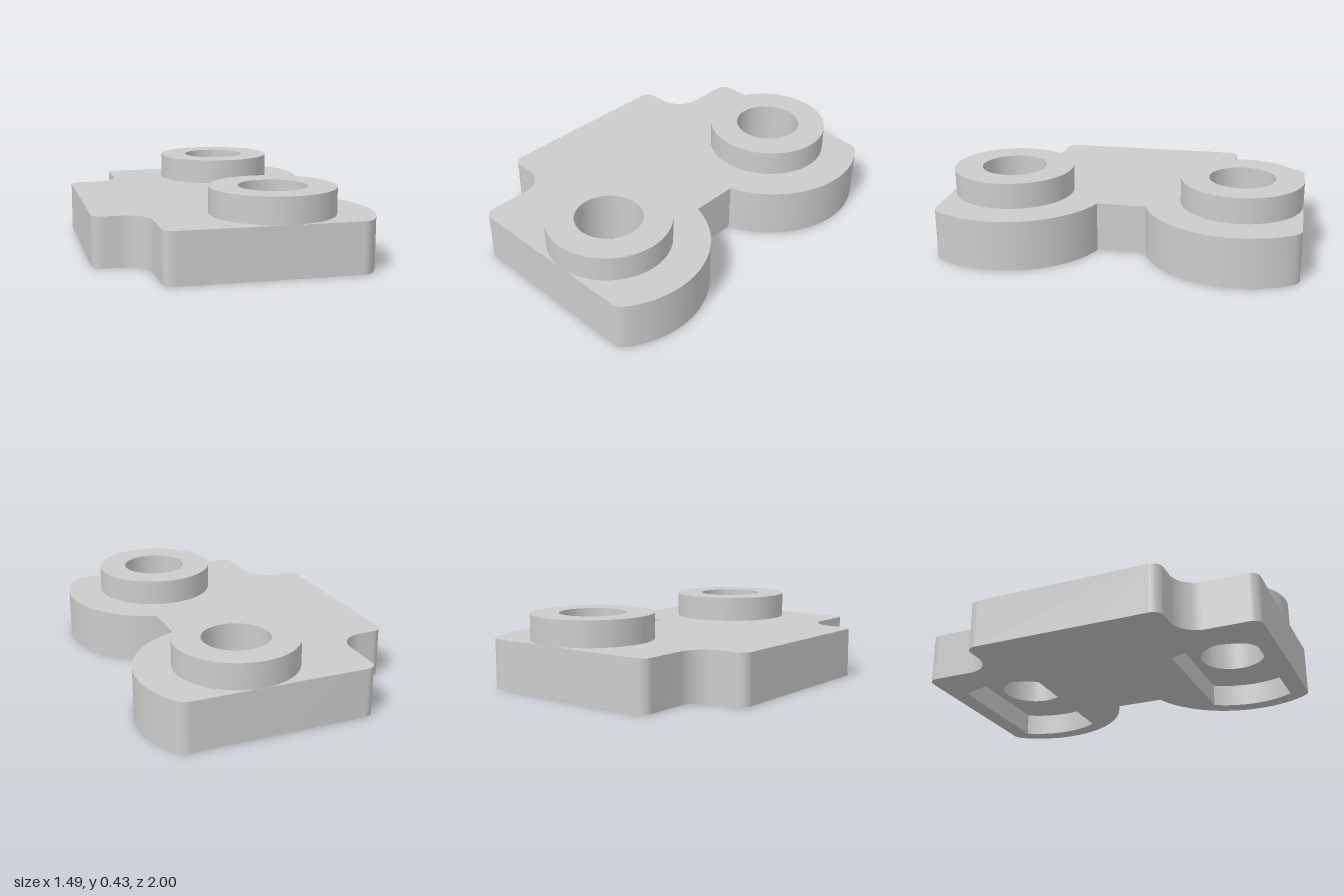
import * as THREE from 'three';
import { mergeGeometries, toCreasedNormals } from 'three/addons/utils/BufferGeometryUtils.js';

// Heights and lobe layout
const POCKET = 0.13, PLATE = 0.28, TOP = 0.425;
const CX = 0.2, CZ = 0.657;
const HOLE_R = 0.185, BOSS_R = 0.342, LOBE_R = 0.545;

// Drop coincident neighbours so every wall quad has an area
const clean = (pts) => pts.filter((p, i) => p.distanceTo(pts[(i + 1) % pts.length]) > 1e-4);

// Plan outline: one half is drawn, then mirrored
function outlinePoints() {
  const half = new THREE.Path();
  half.absarc(CX, CZ, LOBE_R, -1.263, 0.6, false);
  half.quadraticCurveTo(0.62, 1, 0.59, 1);
  half.lineTo(-0.395, 1);
  half.absarc(-0.395, 0.94, 0.06, Math.PI / 2, Math.PI, false);
  half.lineTo(-0.455, 0.715);
  half.absarc(-0.605, 0.715, 0.15, 0, -Math.PI / 2, true);
  half.lineTo(-0.69, 0.565);
  half.absarc(-0.69, 0.505, 0.06, Math.PI / 2, Math.PI, false);
  const pts = half.getPoints(24);
  const mirrored = pts.map((p) => new THREE.Vector2(p.x, -p.y)).reverse();
  return clean([...pts, ...mirrored]);
}

function circlePoints(z, r) {
  const path = new THREE.Path();
  path.absarc(CX, z, r, 0, Math.PI * 2, false);
  return clean(path.getPoints(64));
}

// Pocket: a circle cut by two parallel flats
function pocketPoints(z) {
  const r = 0.45, a = Math.asin(0.24 / r);
  const path = new THREE.Path();
  path.absarc(CX, z, r, -a, a, false);
  path.absarc(CX, z, r, Math.PI - a, Math.PI + a, false);
  return clean(path.getPoints(20));
}

// Flat face at height y, with holes, looking up or down
function face(points, holes, y, up) {
  // a downward face is turned the other way, so its plan is flipped first
  const plan = (pts) => (up ? pts : pts.map((p) => new THREE.Vector2(p.x, -p.y)));
  const shape = new THREE.Shape(plan(points));
  shape.holes = holes.map((h) => new THREE.Path(plan(h)));
  const geo = new THREE.ShapeGeometry(shape).toNonIndexed();
  geo.deleteAttribute('uv');
  geo.rotateX(up ? -Math.PI / 2 : Math.PI / 2);
  geo.translate(0, y, 0);
  return geo;
}

// Upright wall along a closed loop, facing outward or inward
function wall(points, y0, y1, outward) {
  const loop = outward ? points : [...points].reverse();
  const pos = [];
  loop.forEach((p, i) => {
    const q = loop[(i + 1) % loop.length];
    const a = [p.x, y0, -p.y], b = [q.x, y0, -q.y];
    const c = [q.x, y1, -q.y], d = [p.x, y1, -p.y];
    pos.push(...a, ...b, ...c, ...a, ...c, ...d);
  });
  const geo = new THREE.BufferGeometry();
  geo.setAttribute('position', new THREE.Float32BufferAttribute(pos, 3));
  geo.computeVertexNormals();
  return toCreasedNormals(geo, Math.PI / 6);
}

export function createModel() {
  const group = new THREE.Group();
  const material = new THREE.MeshStandardMaterial({ color: 0xcccccc });
  const add = (name, ...parts) => {
    const mesh = new THREE.Mesh(mergeGeometries(parts), material);
    mesh.name = name;
    group.add(mesh);
  };

  const outline = outlinePoints();
  const sides = [CZ, -CZ].map((z) => ({
    label: z < 0 ? 'front' : 'back',
    hole: circlePoints(z, HOLE_R),
    boss: circlePoints(z, BOSS_R),
    pocket: pocketPoints(z),
  }));

  // Plate with two rounded lobes
  add('basePlate',
    wall(outline, 0, PLATE, true),
    face(outline, sides.map((s) => s.boss), PLATE, true),
    face(outline, sides.map((s) => s.pocket), 0, false));

  for (const s of sides) {
    // Raised ring with its through bore
    add(s.label + 'Boss',
      wall(s.boss, PLATE, TOP, true),
      face(s.boss, [s.hole], TOP, true),
      wall(s.hole, POCKET, TOP, false));
    // Recess in the underside
    add(s.label + 'Pocket',
      wall(s.pocket, 0, POCKET, false),
      face(s.pocket, [s.hole], POCKET, false));
  }
  return group;
}
